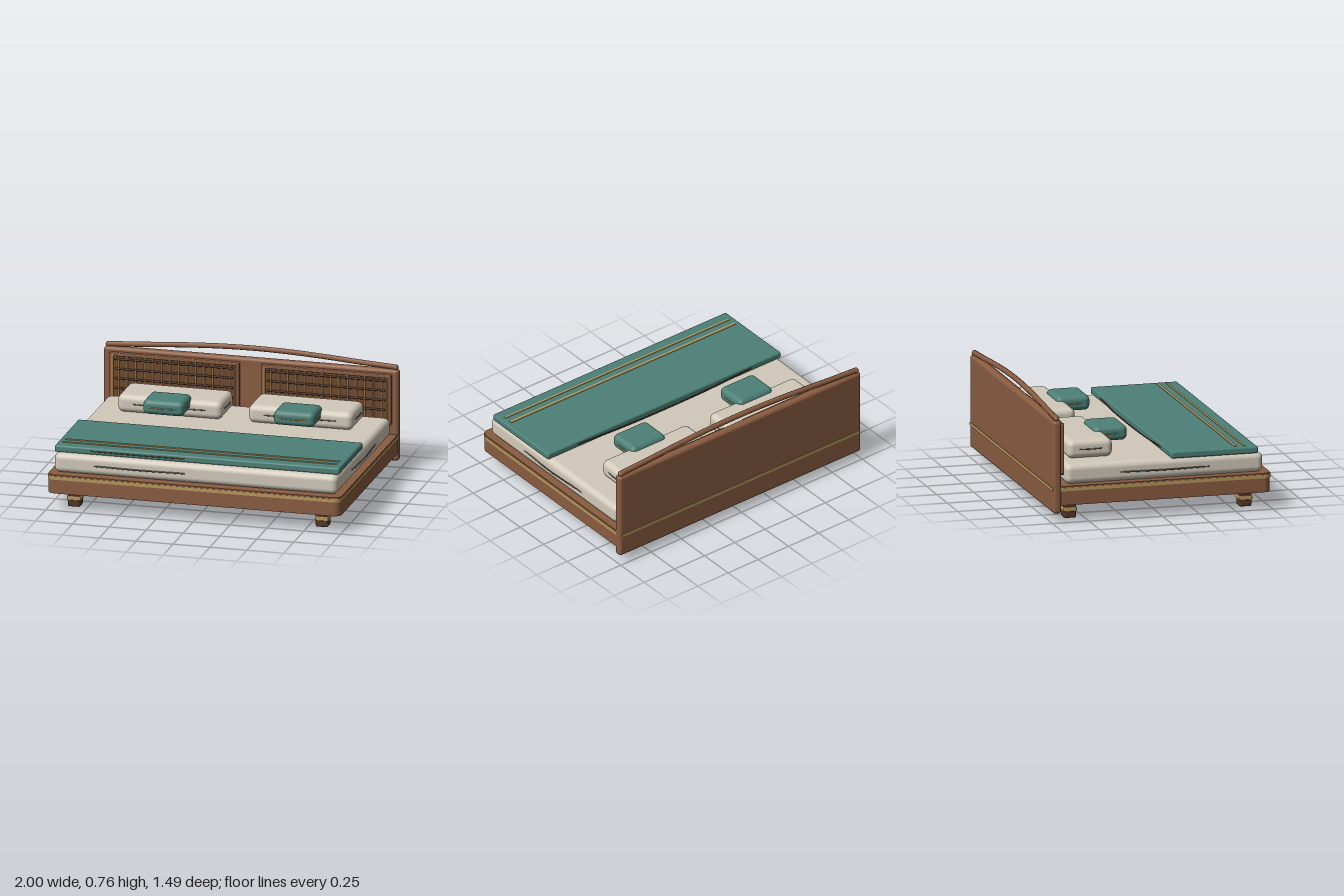
import * as THREE from 'three';
import { RoundedBoxGeometry } from 'three/addons/geometries/RoundedBoxGeometry.js';

const mat = (name, color) => Object.assign(new THREE.MeshStandardMaterial({ color }), { name });

export function createModel() {
  const wood = mat('walnut wood', 0x8a5c41);
  const darkWood = mat('dark wood', 0x553628);
  const panelWood = mat('panel wood', 0x71492f);
  const gold = mat('brass', 0xb8965c);
  const cream = mat('cream linen', 0xd2cabb);
  const teal = mat('teal fabric', 0x4c8077);
  const seam = mat('seam thread', 0x6b655c);

  const bed = new THREE.Group();
  bed.name = 'bed';

  const add = (name, geo, material, x = 0, y = 0, z = 0) => {
    const m = new THREE.Mesh(geo, material);
    m.name = name;
    m.position.set(x, y, z);
    bed.add(m);
    return m;
  };
  // Boxes are given by their extents
  const dims = (a, b) => [b[0] - a[0], b[1] - a[1], b[2] - a[2]];
  const mid = (a, b) => a.map((v, i) => (v + b[i]) / 2);
  const box = (name, material, a, b) => add(name, new THREE.BoxGeometry(...dims(a, b)), material, ...mid(a, b));
  const soft = (name, material, a, b, r) =>
    add(name, new RoundedBoxGeometry(...dims(a, b), 4, r), material, ...mid(a, b));
  const tube = (name, material, pts, r, n = 24) => add(name, new THREE.TubeGeometry(
    new THREE.CatmullRomCurve3(pts.map(p => new THREE.Vector3(...p))), n, r, 8), material);

  // Slab with rounded plan corners
  const slab = (name, material, hx, z0, z1, y0, y1, r) => {
    const s = new THREE.Shape();
    s.moveTo(-hx + r, z0);
    s.lineTo(hx - r, z0);
    s.absarc(hx - r, z0 + r, r, -Math.PI / 2, 0);
    s.lineTo(hx, z1 - r);
    s.absarc(hx - r, z1 - r, r, 0, Math.PI / 2);
    s.lineTo(-hx + r, z1);
    s.absarc(-hx + r, z1 - r, r, Math.PI / 2, Math.PI);
    s.lineTo(-hx, z0 + r);
    s.absarc(-hx + r, z0 + r, r, Math.PI, Math.PI * 1.5);
    const g = new THREE.ExtrudeGeometry(s, { depth: y1 - y0, bevelEnabled: false, curveSegments: 6 });
    g.rotateX(Math.PI / 2);
    return add(name, g, material, 0, y1, 0);
  };

  // Base with brass band
  slab('base', wood, 0.993, -0.735, 0.742, 0.115, 0.243, 0.05);
  slab('baseBand', gold, 0.997, -0.739, 0.746, 0.21, 0.234, 0.05);

  // Legs
  for (const x of [-0.84, 0.84]) for (const z of [-0.595, 0.598]) {
    soft('leg', darkWood, [x - 0.042, 0, z - 0.042], [x + 0.042, 0.125, z + 0.042], 0.012);
    soft('legBand', gold, [x - 0.046, 0.044, z - 0.046], [x + 0.046, 0.074, z + 0.046], 0.006);
  }

  // Headboard
  soft('headboard', wood, [-1, 0.06, -0.742], [1, 0.685, -0.685], 0.022);
  box('headboardBackBand', gold, [-0.985, 0.211, -0.746], [0.985, 0.232, -0.741]);
  tube('archRail', wood, [-0.975, -0.75, -0.5, -0.25, 0, 0.25, 0.5, 0.75, 0.975].map(
    x => [x, 0.697 + 0.05 * Math.cos(x / 0.975 * Math.PI / 2) ** 1.25, -0.715]), 0.018, 48);
  for (const s of [-1, 1])
    add('archEnd', new THREE.SphereGeometry(0.02, 12, 8), wood, s * 0.973, 0.695, -0.715);

  // Headboard woven panels
  for (const s of [-1, 1]) {
    const cx = s * 0.515, hw = 0.43;
    soft('panelBacking', panelWood, [cx - hw, 0.325, -0.69], [cx + hw, 0.648, -0.67], 0.008);
    for (const y of [0.32, 0.642]) {
      soft('panelRail', wood, [cx - hw - 0.008, y - 0.01, -0.69], [cx + hw + 0.008, y + 0.014, -0.656], 0.006);
    }
    for (const e of [-1, 1]) {
      const x = cx + e * hw;
      soft('panelStile', wood, [x - 0.012, 0.315, -0.69], [x + 0.012, 0.654, -0.656], 0.006);
      box('panelTrim', gold, [x - e * 0.014 - 0.004, 0.325, -0.68], [x - e * 0.014 + 0.004, 0.645, -0.652]);
    }
    for (let i = 0; i < 14; i++) {
      const x = cx - 0.377 + i * 0.058;
      box('caneUpright', gold, [x - 0.005, 0.33, -0.672], [x + 0.005, 0.635, -0.66]);
    }
    for (let j = 0; j < 5; j++) {
      const y = 0.35 + j * 0.066;
      const rod = add('caneRod', new THREE.CylinderGeometry(0.007, 0.007, 0.8, 8), darkWood, cx, y, -0.659);
      rod.rotation.z = Math.PI / 2;
    }
  }

  // Mattress and its side piping
  soft('mattress', cream, [-0.96, 0.243, -0.645], [0.96, 0.375, 0.698], 0.04);
  tube('mattressSeam', seam, [[-0.69, 0.308, 0.696], [-0.38, 0.308, 0.706], [-0.07, 0.308, 0.696]], 0.005);
  for (const s of [-1, 1])
    tube('mattressSeam', seam, [[s * 0.957, 0.306, 0.33], [s * 0.972, 0.306, 0.03], [s * 0.957, 0.306, -0.28]], 0.005);

  // Folded throw with stripes and hem
  soft('throw', teal, [-0.965, 0.373, 0.07], [0.965, 0.419, 0.66], 0.012);
  for (const [z, w] of [[0.515, 0.009], [0.577, 0.007]])
    box('throwStripe', gold, [-0.93, 0.416, z - w], [0.93, 0.423, z + w]);
  tube('throwHem', darkWood, [[-0.72, 0.396, 0.07], [-0.35, 0.396, 0.048], [0, 0.396, 0.043],
    [0.35, 0.396, 0.048], [0.72, 0.396, 0.07]], 0.004);
  tube('throwHem', darkWood, [[-0.72, 0.396, 0.658], [-0.4, 0.396, 0.664], [-0.08, 0.396, 0.658]], 0.004);

  // Piping that bows out from the four sides of a cushion
  const piping = (name, material, cx, cz, hx, hz, y) => {
    for (const s of [-1, 1]) {
      tube(name, material, [[cx - hx * 0.7, y, cz + s * hz], [cx, y, cz + s * (hz + 0.009)],
        [cx + hx * 0.7, y, cz + s * hz]], 0.004, 16);
      tube(name, material, [[cx + s * hx, y, cz - hz * 0.5], [cx + s * (hx + 0.008), y, cz],
        [cx + s * hx, y, cz + hz * 0.5]], 0.004, 16);
    }
  };

  // Pillows and accent cushions
  for (const s of [-1, 1]) {
    const px = s * 0.443;
    soft('pillow', cream, [px - 0.354, 0.373, -0.584], [px + 0.354, 0.495, -0.278], 0.04);
    piping('pillowPiping', seam, px, -0.431, 0.352, 0.152, 0.435);
    soft('cushion', teal, [px - 0.139, 0.424, -0.345], [px + 0.139, 0.524, -0.118], 0.034);
    piping('cushionPiping', gold, px, -0.232, 0.136, 0.111, 0.474);
  }
  return bed;
}
